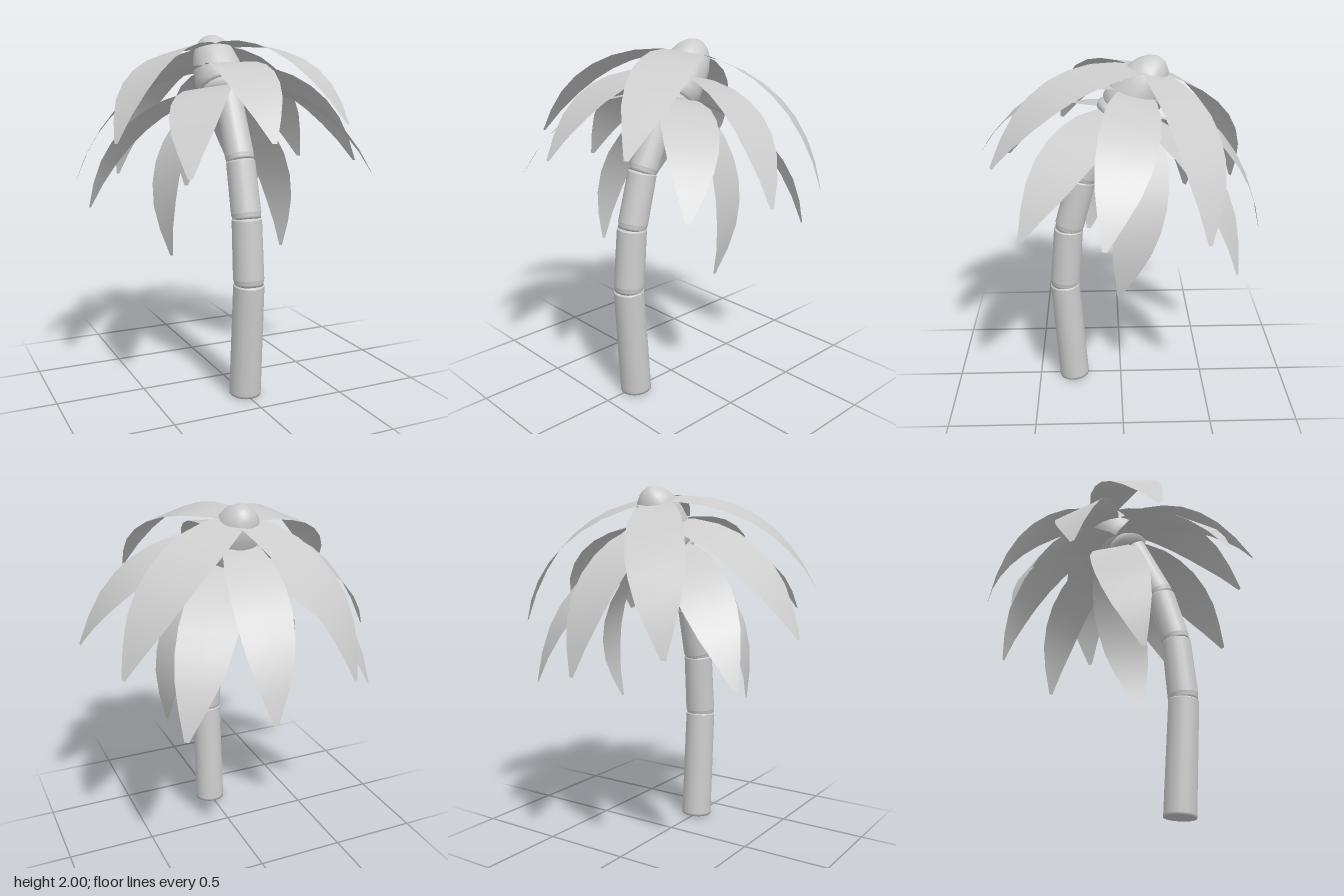
import * as THREE from 'three';

const V = (x, y, z) => new THREE.Vector3(x, y, z);
const UP = V(0, 1, 0);
const grey = new THREE.MeshStandardMaterial({ color: 0xcccccc });
const leafGrey = new THREE.MeshStandardMaterial({ color: 0xcccccc, side: THREE.DoubleSide });

// Lathed solid standing on point a with its axis along direction dir
function lathe(points, a, dir) {
  const profile = points.map(([r, y]) => new THREE.Vector2(r, y));
  const mesh = new THREE.Mesh(new THREE.LatheGeometry(profile, 18), grey);
  mesh.position.copy(a);
  mesh.quaternion.setFromUnitVectors(UP, dir.clone().normalize());
  return mesh;
}

// One trunk length from a to b, narrowed at its foot by the collar factor
function trunkSegment(a, b, r0, r1, collar) {
  const dir = b.clone().sub(a), len = dir.length();
  return lathe([[0, 0], [r0 * collar, 0], [r0 * collar, 0.015], [r0, 0.035], [r0, 0.035], [r1, len], [r1, len], [r1 * 0.9, len + 0.012], [0, len + 0.012]], a, dir);
}

// Half widths of a frond from its stem to its tip
const WIDTHS = [0.06, 0.11, 0.14, 0.15, 0.15, 0.138, 0.112, 0.066, 0.012];

// The crown's axis leans back; every frond arches towards it
const LEAN = 0.235;
const AXIS = V(0, Math.cos(LEAN), -Math.sin(LEAN));

// Thin leaf of one common arch between base and tip
function frond(base, tip) {
  const reach = tip.clone().sub(base);
  const chord = reach.clone().normalize();
  const bulge = AXIS.clone().addScaledVector(chord, -AXIS.dot(chord)).normalize();
  const control = base.clone().lerp(tip, 0.5).addScaledVector(bulge, 0.334);
  const spine = new THREE.QuadraticBezierCurve3(base, control, tip);
  const side = AXIS.clone().cross(reach).normalize();
  const n = WIDTHS.length - 1;
  const positions = [], index = [];
  WIDTHS.forEach((w, i) => {
    const p = spine.getPoint(i / n);
    for (const s of [-1, 0, 1]) positions.push(...p.clone().addScaledVector(side, s * w).toArray());
    if (i === n) return;
    for (let j = 0; j < 2; j++) {
      const a = i * 3 + j, b = a + 3;
      index.push(a, b, a + 1, a + 1, b, b + 1);
    }
  });
  const geo = new THREE.BufferGeometry();
  geo.setAttribute('position', new THREE.Float32BufferAttribute(positions, 3));
  geo.setIndex(index);
  geo.computeVertexNormals();
  return new THREE.Mesh(geo, leafGrey);
}

export function createModel() {
  const tree = new THREE.Group();
  tree.name = 'palmTree';
  const add = (mesh, name, parent = tree) => { mesh.name = name; parent.add(mesh); };

  // Trunk bowing forward, then leaning back
  const trunk = new THREE.Group();
  add(trunk, 'trunk');
  const joints = [[0.008, 0.29, 0.089], [0.645, 0.33, 0.086], [1.005, 0.3, 0.083], [1.31, 0.22, 0.08], [1.7, 0.04, 0.074]];
  for (let i = 0; i < joints.length - 1; i++) {
    const [y0, z0, r0] = joints[i], [y1, z1, r1] = joints[i + 1];
    add(trunkSegment(V(0.005, y0, z0), V(0.005, y1, z1), r0, r1, i ? 0.94 : 1), 'trunkSegment' + (i + 1), trunk);
  }

  // Leaning crown: a flat lower bulb below a bullet-shaped heart
  const crown = new THREE.Group();
  add(crown, 'crown');
  add(lathe([[0, -0.05], [0.09, -0.05], [0.125, -0.02], [0.13, 0.01], [0.1, 0.05], [0, 0.08]],
    V(0, 1.69, 0.01), V(0, 0.85, -0.5)), 'lowerBulb', crown);
  add(lathe([[0, -0.03], [0.12, -0.03], [0.137, -0.015], [0.142, 0.03], [0.135, 0.12], [0.122, 0.19], [0.1, 0.25], [0.065, 0.295], [0.03, 0.317], [0, 0.322]],
    V(0, 1.725, -0.025), V(0, 0.81, -0.59)), 'crownHeart', crown);

  // Tiers of fronds, each given by its tips
  const tiers = [
    { name: 'upperFrond', base: V(0, 1.93, -0.15),
      tips: [[0.4, 1.53, 0.66], [0.73, 1.25, -0.41], [-0.42, 1.16, -0.69], [-0.73, 1.45, 0.35]] },
    { name: 'middleFrond', base: V(0, 1.82, -0.09),
      tips: [[-0.08, 1.46, 0.77], [0.82, 1.27, 0.1], [0.08, 1.04, -0.78], [-0.83, 1.22, -0.08]] },
    { name: 'lowerFrond', base: V(0, 1.7, -0.04),
      tips: [[0.66, 1.25, 0.51], [0.48, 0.95, -0.6], [-0.67, 1.0, -0.44], [-0.47, 1.3, 0.67]] },
    { name: 'hangingFrond', base: V(0, 1.7, -0.11), tips: [[0.37, 0.77, 0.02], [-0.39, 0.82, 0.19]] },
  ];
  for (const { name, base, tips } of tiers) {
    tips.forEach((t, i) => add(frond(base, V(...t)), name + (i + 1), crown));
  }
  return tree;
}
